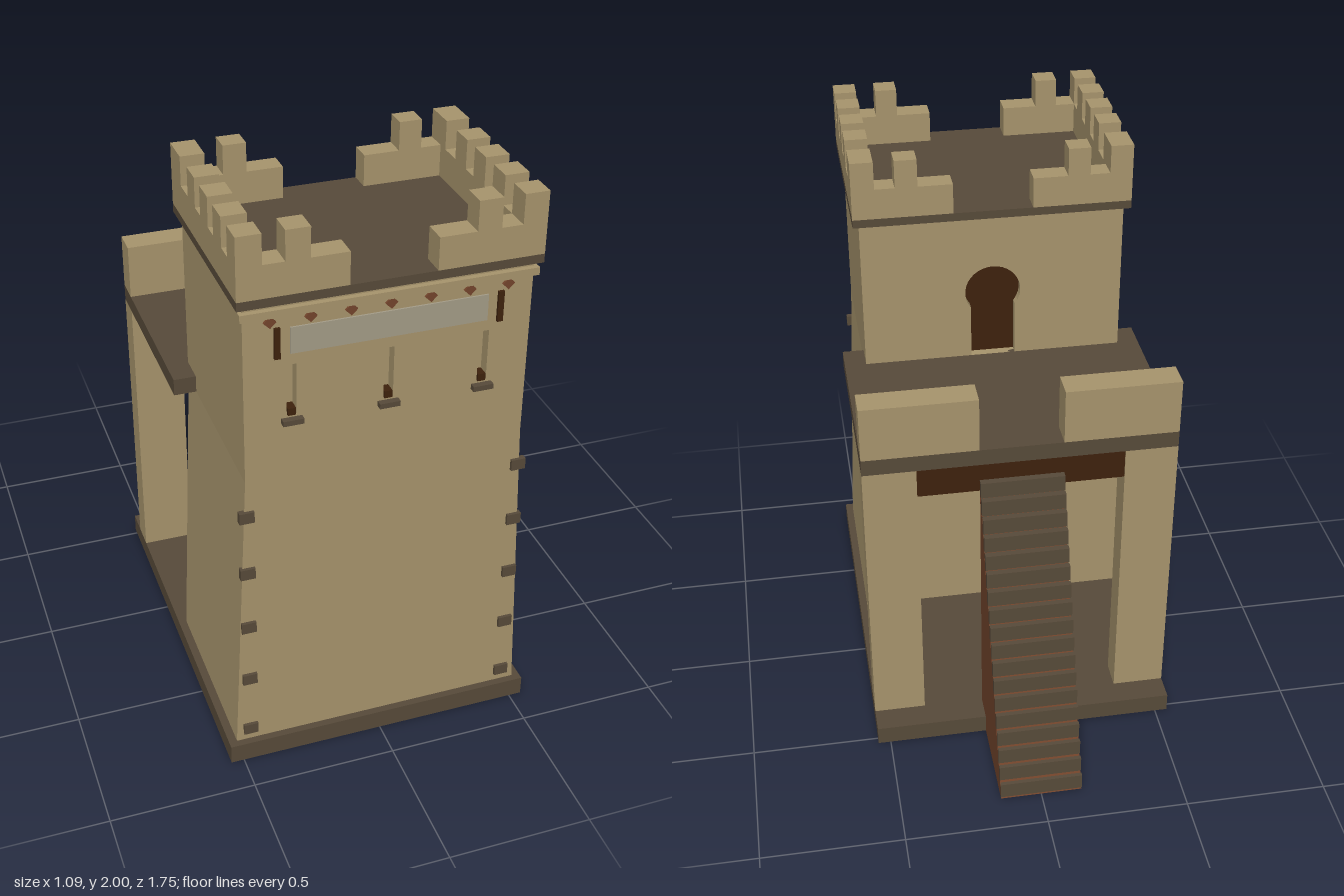
import * as THREE from 'three';

const mat = (name, color) => {
  const m = new THREE.MeshStandardMaterial({ color });
  m.name = name;
  return m;
};

export function createModel() {
  const root = new THREE.Group();
  root.name = 'castleTower';
  const stone = mat('sandstone', 0xa8956d);
  const slate = mat('darkStone', 0x584b3a);
  const wood = mat('redWood', 0x74452c);
  const darkWood = mat('darkWood', 0x3e220d);
  const plaque = mat('paleGrey', 0xa59d88);

  const add = (name, geo, material) => {
    const m = new THREE.Mesh(geo, material);
    m.name = name;
    root.add(m);
    return m;
  };
  // box given by its minimum and maximum on each axis
  const box = (name, material, x0, x1, y0, y1, z0, z1) => {
    const g = new THREE.BoxGeometry(x1 - x0, y1 - y0, z1 - z0);
    g.translate((x0 + x1) / 2, (y0 + y1) / 2, (z0 + z1) / 2);
    return add(name, g, material);
  };
  // the same box on both sides of x = 0
  const pair = (name, material, x0, x1, ...yz) => {
    box(name, material, x0, x1, ...yz);
    box(name, material, -x1, -x0, ...yz);
  };
  const poly = (pts, Type = THREE.Shape) => new Type(pts.map(p => new THREE.Vector2(...p)));
  const extrude = (shape, z0, z1) => {
    const g = new THREE.ExtrudeGeometry(shape, { depth: z1 - z0, bevelEnabled: false, curveSegments: 12 });
    g.translate(0, 0, z0);
    return g;
  };

  // base slab
  box('base', slate, -0.545, 0.545, 0, 0.07, -0.525, 0.875);

  // tower: flared lower walls, in three layers so openings can be recessed
  const outline = () => poly([[-0.517, 0.07], [0.517, 0.07], [0.468, 1.14], [0.468, 1.76], [-0.468, 1.76], [-0.468, 1.14]]);
  const slitXs = [-0.315, 0, 0.315];

  const front = outline();
  for (const x of slitXs)
    front.holes.push(poly([[x - 0.016, 1.36], [x - 0.016, 1.54], [x + 0.016, 1.54], [x + 0.016, 1.36]], THREE.Path));
  add('towerFront', extrude(front, 0.81, 0.85), stone);
  add('towerCore', extrude(outline(), 0.225, 0.81), stone);

  // back wall with a horseshoe arch doorway
  const back = outline();
  const arch = new THREE.Path();
  arch.moveTo(-0.08, 1.2);
  arch.lineTo(0.08, 1.2);
  arch.lineTo(0.08, 1.4);
  arch.absarc(0, 1.46, 0.1, -0.64, Math.PI + 0.64, false);
  arch.lineTo(-0.08, 1.2);
  back.holes.push(arch);
  add('towerBack', extrude(back, 0.185, 0.225), stone);
  box('door', darkWood, -0.11, 0.11, 1.2, 1.57, 0.217, 0.224);

  // arrow slit sills
  for (const x of slitXs) {
    box('slitFoot', darkWood, x - 0.013, x + 0.013, 1.36, 1.385, 0.815, 0.853);
    box('slitSill', slate, x - 0.034, x + 0.034, 1.335, 1.353, 0.845, 0.872);
  }

  // cornerstones
  for (let i = 0; i < 5; i++) {
    const y = 0.12 + i * 0.2225;
    pair('cornerstone', slate, 0.442, 0.492, y - 0.02, y + 0.02, 0.84, 0.861);
  }

  // front moulding, diamonds, plaque and its end bars
  box('moulding', stone, -0.48, 0.48, 1.717, 1.743, 0.838, 0.868);
  for (let i = -3; i <= 3; i++) {
    const d = poly([[0, -0.02], [0.02, 0], [0, 0.02], [-0.02, 0]]);
    add('diamond', extrude(d, 0.845, 0.858), wood).position.set(i * 0.128, 1.698, 0);
  }
  box('plaque', plaque, -0.32, 0.32, 1.58, 1.67, 0.849, 0.856);
  pair('plaqueBar', darkWood, 0.352, 0.371, 1.57, 1.675, 0.845, 0.86);

  // roof slab and parapet with gaps front and back
  box('roofSlab', slate, -0.49, 0.49, 1.76, 1.79, 0.162, 0.872);
  pair('sideParapet', stone, 0.41, 0.49, 1.79, 1.9, 0.162, 0.872);
  for (const [z0, z1] of [[0.79, 0.872], [0.162, 0.238]]) {
    pair('endParapet', stone, 0.14, 0.41, 1.79, 1.9, z0, z1);
    pair('endMerlon', stone, 0.262, 0.34, 1.9, 2, z0, z1);
  }
  for (const [z0, z1] of [[0.79, 0.872], [0.645, 0.73], [0.503, 0.588], [0.36, 0.444], [0.162, 0.278]])
    pair('sideMerlon', stone, 0.41, 0.49, 1.9, 2, z0, z1);

  // rear platform with its parapet, pillars and beam
  box('platform', slate, -0.545, 0.545, 1.14, 1.2, -0.43, 0.285);
  pair('platformParapet', stone, 0.145, 0.545, 1.2, 1.4, -0.43, -0.33);
  pair('pillar', stone, 0.36, 0.545, 0.07, 1.14, -0.43, -0.33);
  box('beam', darkWood, -0.36, 0.36, 1.03, 1.14, -0.425, -0.335);

  // staircase: solid wooden wedge with stone treads
  const wedge = extrude(poly([[0.433, 0], [0.868, 0], [0.433, 1.025]]), -0.145, 0.145);
  wedge.rotateY(Math.PI / 2);
  add('stairWedge', wedge, wood);
  for (let i = 0; i < 18; i++) {
    const z = -0.433 - 0.0243 * (i + 1);
    const y = 1.08 - 0.0595 * i;
    box('stairTread', slate, -0.146, 0.146, y - 0.0595, y, z, z + 0.0243 - 0.0006 * i);
  }
  return root;
}
